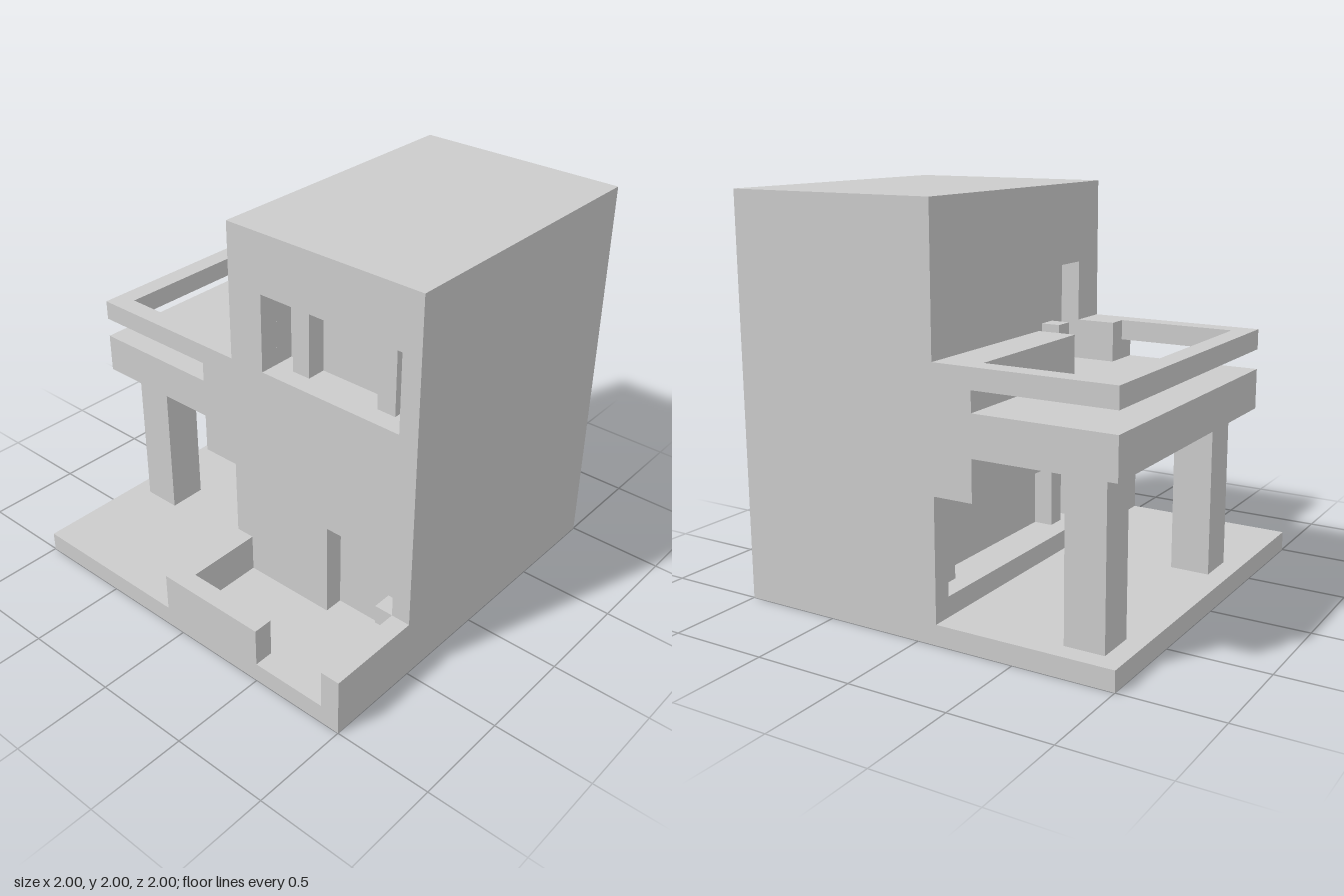
import * as THREE from 'three';

const material = new THREE.MeshStandardMaterial({ color: 0xcccccc, flatShading: true });

export function createModel() {
  const model = new THREE.Group();
  model.name = 'house';

  const add = (name, geometry) => {
    const mesh = new THREE.Mesh(geometry, material);
    mesh.name = name;
    model.add(mesh);
    return mesh;
  };

  // Box given by its lower and upper limits on each axis
  const box = (name, x0, x1, y0, y1, z0, z1) =>
    add(name, new THREE.BoxGeometry(x1 - x0, y1 - y0, z1 - z0)
      .translate((x0 + x1) / 2, (y0 + y1) / 2, (z0 + z1) / 2));

  const trace = (path, points) => {
    points.forEach(([u, v], i) => (i ? path.lineTo(u, v) : path.moveTo(u, v)));
    path.closePath();
    return path;
  };
  const rect = (u0, u1, v0, v1) => [[u0, v0], [u1, v0], [u1, v1], [u0, v1]];

  // Slab 0.1 thick from an outline with holes
  const panel = (outline, holes) => {
    const shape = trace(new THREE.Shape(), outline);
    holes.forEach((h) => shape.holes.push(trace(new THREE.Path(), h)));
    return new THREE.ExtrudeGeometry(shape, { depth: 0.1, bevelEnabled: false });
  };
  const frontPanel = (name, z, outline, holes) =>
    add(name, panel(outline, holes).translate(0, 0, z));
  const sidePanel = (name, x, outline, holes) =>
    add(name, panel(outline, holes).rotateY(-Math.PI / 2).translate(x, 0, 0));

  // Ground: side deck and front yard
  box('sideDeck', -1, -0.1, 0, 0.1, -1, 1);
  box('yardFloor', -0.1, 1, 0, 0.1, 0.5, 1);

  // Main body, with wall layers that form the recessed doors and windows
  box('houseCore', 0.1, 1, 0, 2, -1, 0.3);
  const frontWindow = rect(0.1, 0.9, 1.3, 1.7);
  const frontDoor = rect(0.5, 0.9, 0.1, 0.6);
  const sideWindow = rect(-0.9, 0.4, 0.2, 0.6);
  const sideDoor = rect(-0.1, 0.3, 1.1, 1.6);
  frontPanel('frontWall', 0.4, rect(-0.1, 1, 0, 2), [frontWindow, frontDoor]);
  frontPanel('frontInnerWall', 0.3, rect(0.1, 1, 0, 2), [rect(0.1001, 0.9, 1.3, 1.7)]);
  sidePanel('sideWall', 0, rect(-1, 0.4, 0, 2), [rect(-0.9, 0.3999, 0.2, 0.6), sideDoor]);
  sidePanel('sideInnerWall', 0.1, rect(-1, 0.4, 0, 2), [rect(-0.9, 0.3999, 0.2, 0.6)]);

  // Window posts and door handles
  for (const x of [0.2, 0.7]) box('frontWindowPost', x, x + 0.1, 1.3, 1.7, 0.3, 0.4);
  for (const z of [-0.8, 0.2]) box('sideWindowPost', 0, 0.1, 0.2, 0.6, z, z + 0.1);
  box('frontDoorHandle', 0.8, 0.9, 0.2, 0.3, 0.4, 0.5);
  box('sideDoorHandle', -0.1, 0, 1.2, 1.3, 0.1, 0.2);

  // Balcony slab on a wall ledge and two square columns
  box('balconyFloor', -1, -0.1, 0.9, 1.1, -1, 0.5);
  box('balconyLedge', -0.3, -0.1, 0.7, 0.9, -1, 0.5);
  for (const z of [-0.9, 0.2]) box('balconyColumn', -0.9, -0.7, 0.1, 0.9, z, z + 0.2);

  // Balcony rail, open around the side door, carried by two blocks at the wall
  const rail = panel([
    [-0.1, -1], [-0.1, -0.1], [-0.3, -0.1], [-0.3, -0.9], [-0.9, -0.9], [-0.9, 0.4],
    [-0.3, 0.4], [-0.3, 0.3], [-0.1, 0.3], [-0.1, 0.5], [-1, 0.5], [-1, -1],
  ], []);
  add('balconyRail', rail.rotateX(Math.PI / 2).translate(0, 1.3, 0));
  box('railBlockBack', -0.3, -0.1, 1.1, 1.2, -1, -0.1);
  box('railBlockFront', -0.3, -0.1, 1.1, 1.2, 0.3, 0.5);

  // Low yard wall with a gate opening
  box('yardWallRight', -0.1, 0, 0.1, 0.3, 0.5, 1);
  box('yardWallFront', 0, 0.5, 0.1, 0.3, 0.9, 1);
  box('yardWallLeft', 0.9, 1, 0.1, 0.3, 0.5, 1);

  return model;
}
